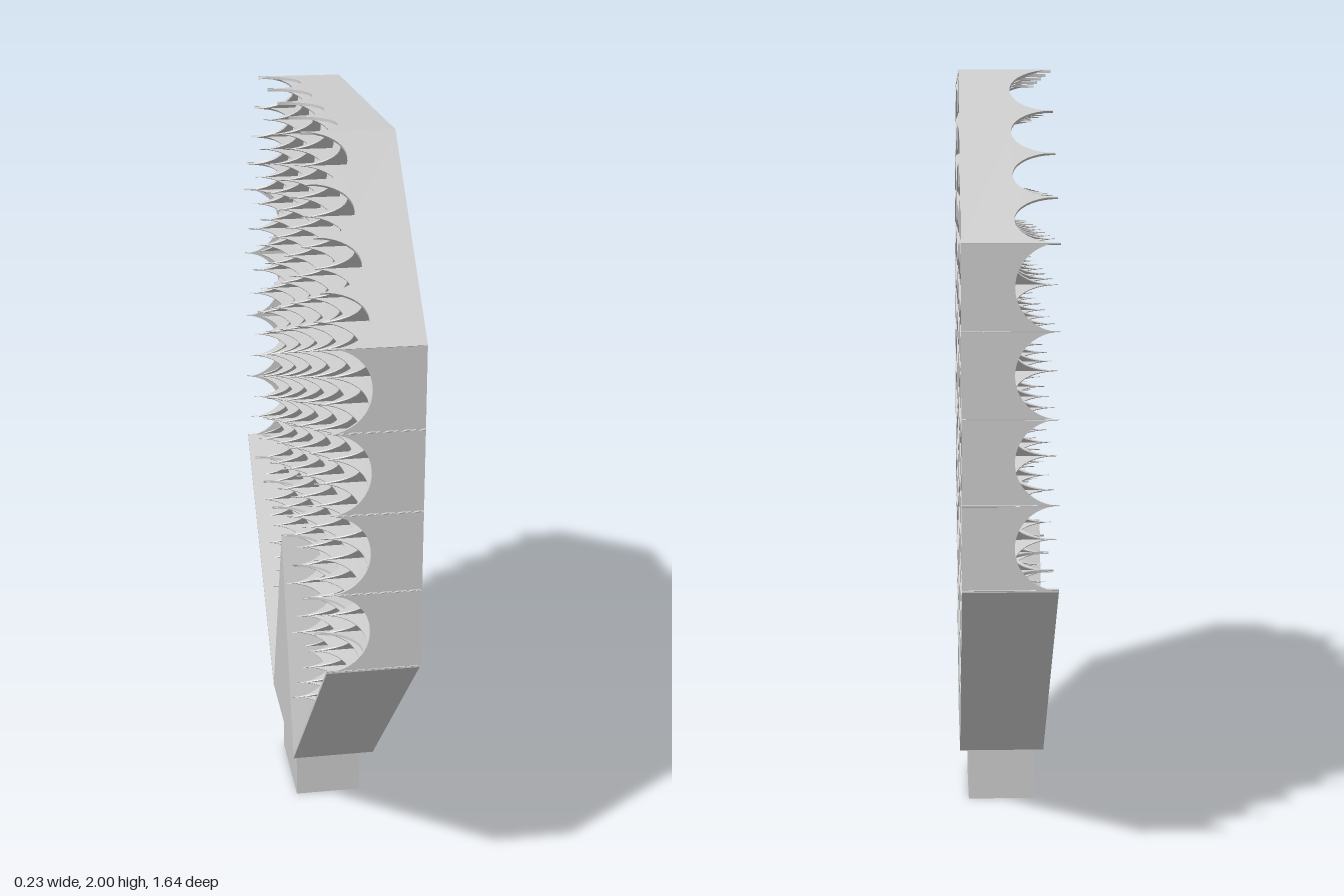
import * as THREE from 'three';

const HALF = 0.115;      // half depth of the walls along x
const NOTCH = 0.105;     // depth of each scallop
const H = 0.1025;        // half of the lattice cell diagonal
const MID = 0.77;        // height of the horizontal cross wall

export function createModel() {
  const group = new THREE.Group();
  const grey = new THREE.MeshStandardMaterial({ color: 0xcccccc, side: THREE.DoubleSide });
  grey.name = 'light grey';

  const add = (geometry, name) => {
    const mesh = new THREE.Mesh(geometry, grey);
    mesh.name = name;
    group.add(mesh);
    return mesh;
  };

  // Thin upright wall between two (z, y) points, with n scallops cut in its -x edge
  function wall(name, [z0, y0], [z1, y1], n, thick, offset = 0) {
    const along = new THREE.Vector3(0, y1 - y0, z1 - z0);
    const length = along.length();
    along.normalize();
    const shape = new THREE.Shape();
    shape.moveTo(0, HALF);
    shape.lineTo(0, -HALF);
    const p = length / n;
    for (let i = 0; i < n; i++) {
      shape.absellipse((i + 0.5) * p, -HALF, p / 2, NOTCH, Math.PI, 0, true);
    }
    shape.lineTo(length, -HALF);
    shape.lineTo(length, HALF);
    const geometry = new THREE.ExtrudeGeometry(shape, { depth: thick, bevelEnabled: false, curveSegments: 16 });
    geometry.translate(0, 0, offset);
    const across = new THREE.Vector3(1, 0, 0);
    const normal = along.clone().cross(across);
    geometry.applyMatrix4(new THREE.Matrix4().makeBasis(along, across, normal).setPosition(0, y0, z0));
    return add(geometry, name);
  }

  const node = (z, k) => [z * H, MID + k * H];

  // Outer frame, thickness growing inwards
  const rim = 0.007;
  wall('frontSide', node(8, 0), node(8, 8), 4, rim);
  wall('frontUpperSlope', node(8, 8), node(4, 12), 4, rim);
  wall('top', node(4, 12), node(-4, 12), 4, rim);
  wall('backUpperSlope', node(-4, 12), node(-8, 8), 4, rim);
  wall('backSide', node(-8, 8), node(-8, 0), 4, rim);
  wall('frontLowerSlope', [0.22, 0.17], node(8, 0), 0, rim);
  wall('backLowerSlope', node(-8, 0), [-0.22, 0.17], 0, rim);
  wall('crossWall', node(8, 0), node(-8, 0), 8, rim, -rim / 2);

  // Diagonal lattice, both directions, clipped to the frame
  for (const s of [1, -1]) {
    for (let t = -14; t <= 6; t += 2) {
      const inside = [];
      for (let k = -5; k <= 12; k++) {
        const z = Math.abs(t + k);
        if (z <= 8 && k + z <= 16 && z - k <= 8) inside.push(k);
      }
      if (inside.length < 2) continue;
      const a = inside[0], b = inside[inside.length - 1];
      wall('latticeWall', node(s * (t + a), a), node(s * (t + b), b), b - a, 0.003, -0.0015);
    }
  }

  // Solid wedge at the bottom
  const wedge = new THREE.Shape([
    new THREE.Vector2(-0.22, 0.17), new THREE.Vector2(0.22, 0.17), new THREE.Vector2(0, MID),
  ]);
  const wedgeGeometry = new THREE.ExtrudeGeometry(wedge, { depth: 2 * HALF, bevelEnabled: false });
  wedgeGeometry.translate(0, 0, -HALF).rotateY(Math.PI / 2);
  add(wedgeGeometry, 'wedge');

  // Mounting post
  add(new THREE.BoxGeometry(0.185, 0.17, 0.28), 'post').position.set(-0.0025, 0.085, 0);

  return group;
}
